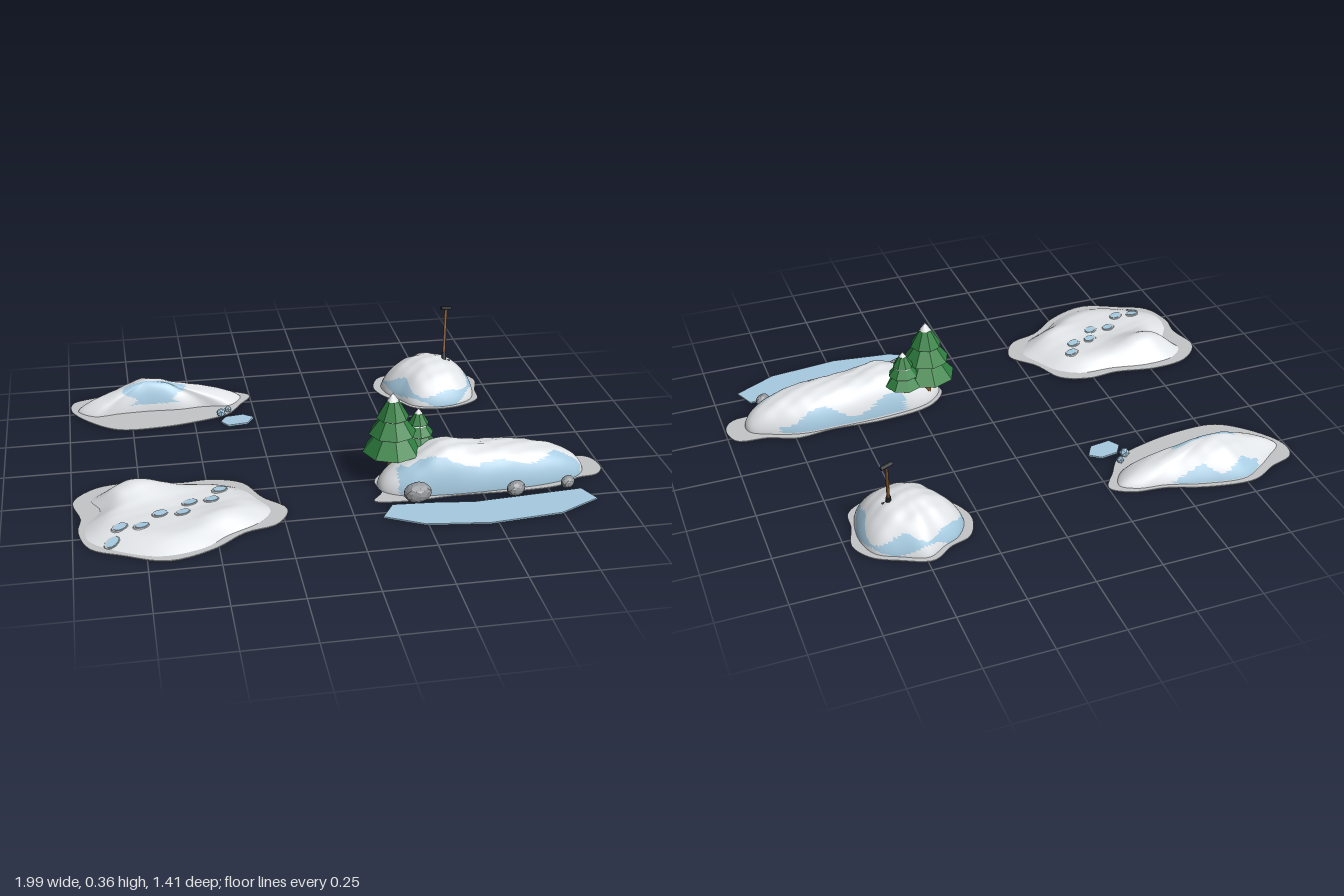
import * as THREE from 'three';

const mat = (name, color, flat = false) => {
  const m = new THREE.MeshStandardMaterial({ color, flatShading: flat });
  m.name = name;
  return m;
};

export function createModel() {
  const root = new THREE.Group();
  root.name = 'snowScene';
  const snow = mat('snow', 0xe2e5e8);
  const ice = mat('ice', 0xa6cae0);
  const slush = mat('packedSnow', 0xc3c5c7);
  const leaf = mat('pineGreen', 0x2f8040, true);
  const wood = mat('wood', 0x82582f);
  const rock = mat('stone', 0x94979b, true);
  const black = mat('darkMetal', 0x26282c);

  const add = (parent, name, geo, material, x = 0, y = 0, z = 0) => {
    const m = new THREE.Mesh(geo, material);
    m.name = name;
    m.position.set(x, y, z);
    parent.add(m);
    return m;
  };
  const group = (name) => {
    const g = new THREE.Group();
    g.name = name;
    root.add(g);
    return g;
  };
  const bell = (d, w) => Math.exp(-(d * d) / (w * w));
  const spline = (pts) =>
    new THREE.CatmullRomCurve3(pts.map(([x, z]) => new THREE.Vector3(x, 0, z)), true);

  // Flat plate from an [x, z] outline, resting on the ground
  const plate = (pts, h) => {
    const shape = new THREE.Shape(pts.map(([x, z]) => new THREE.Vector2(x, z)));
    return new THREE.ExtrudeGeometry(shape, { depth: h, bevelEnabled: false })
      .rotateX(Math.PI / 2).translate(0, h, 0);
  };
  const skirt = (parent, pts) =>
    add(parent, 'skirt', plate(spline(pts).getPoints(72).slice(0, 72).map((p) => [p.x, p.z]), 0.004), slush);

  // Mound: rings from a pole to the outline, raised by height(x, z, t), with icy faces
  const mound = (parent, pts, [px, pz], height, icy) => {
    const N = 80, R = 26, pos = [px, height(px, pz, 0), pz], snowIdx = [], iceIdx = [];
    const curve = spline(pts);
    for (let i = 1; i <= R; i++) {
      const t = Math.sin((i / R) * Math.PI / 2);
      for (let j = 0; j < N; j++) {
        const p = curve.getPoint(j / N);
        const x = px + (p.x - px) * t, z = pz + (p.z - pz) * t;
        const ripple = 1 + 0.02 * Math.sin(x * 61 + z * 37) * Math.sin(z * 73 - x * 23);
        pos.push(x, 0.003 + height(x, z, t) * ripple, z);
      }
    }
    const tri = (...f) => {
      const c = [0, 1, 2].map((k) => f.reduce((s, v) => s + pos[v * 3 + k], 0) / 3);
      (icy(...c) ? iceIdx : snowIdx).push(...f);
    };
    const at = (i, j) => 1 + (i - 1) * N + (j % N);
    for (let j = 0; j < N; j++) {
      tri(0, at(1, j + 1), at(1, j));
      for (let i = 1; i < R; i++) {
        tri(at(i, j), at(i, j + 1), at(i + 1, j));
        tri(at(i, j + 1), at(i + 1, j + 1), at(i + 1, j));
      }
    }
    const g = new THREE.BufferGeometry();
    g.setAttribute('position', new THREE.Float32BufferAttribute(pos, 3));
    g.setIndex([...snowIdx, ...iceIdx]);
    g.addGroup(0, snowIdx.length, 0);
    g.addGroup(snowIdx.length, iceIdx.length, 1);
    g.computeVertexNormals();
    return add(parent, 'mound', g, [snow, ice]);
  };

  // Low trampled patch with a bump and footprints
  const patch = group('footprintPatch');
  skirt(patch, [[-0.23, 0.42], [-0.28, 0.52], [-0.4, 0.56], [-0.52, 0.65], [-0.68, 0.7], [-0.83, 0.64],
    [-0.94, 0.58], [-0.98, 0.46], [-0.97, 0.37], [-0.995, 0.24], [-0.91, 0.15], [-0.77, 0.13],
    [-0.6, 0.16], [-0.48, 0.155], [-0.37, 0.2], [-0.31, 0.32]]);
  const ground = mound(patch, [[-0.29, 0.42], [-0.34, 0.5], [-0.46, 0.57], [-0.55, 0.64], [-0.7, 0.67],
    [-0.85, 0.61], [-0.95, 0.52], [-0.95, 0.42], [-0.9, 0.32], [-0.93, 0.24], [-0.87, 0.18],
    [-0.75, 0.165], [-0.6, 0.19], [-0.46, 0.2], [-0.37, 0.26], [-0.33, 0.33]], [-0.63, 0.4],
  (x, z, t) => (1 - t ** 4) * (0.037 + 0.012 * bell(t - 0.75, 0.2)
    + 0.055 * bell(x + 0.77, 0.13) * bell(z - 0.26, 0.08) + 0.02 * bell(x + 0.46, 0.1) * bell(z - 0.5, 0.08)),
  () => false);
  const ray = new THREE.Raycaster();
  const up = new THREE.Vector3(0, 1, 0);
  for (const [x, z] of [[-0.865, 0.57], [-0.835, 0.51], [-0.76, 0.515], [-0.69, 0.44],
    [-0.61, 0.445], [-0.58, 0.38], [-0.5, 0.37], [-0.465, 0.305]]) {
    ray.set(new THREE.Vector3(x, 1, z), new THREE.Vector3(0, -1, 0));
    const hit = ray.intersectObject(ground)[0];
    const print = new THREE.Group();
    print.name = 'footprint';
    print.position.set(x, hit ? hit.point.y : 0.04, z);
    if (hit) print.quaternion.setFromUnitVectors(up, hit.face.normal);
    print.rotateY(0.5);
    patch.add(print);
    add(print, 'printRim', new THREE.CylinderGeometry(0.027, 0.03, 0.004, 12).scale(1.1, 1, 0.8), slush);
    add(print, 'printBottom', new THREE.CylinderGeometry(0.023, 0.023, 0.004, 12).scale(1.1, 1, 0.75), ice, 0.002, 0.002, 0.002);
  }

  // Wind-blown drift with a steep front
  const drift = group('snowDrift');
  skirt(drift, [[-0.25, -0.55], [-0.3, -0.47], [-0.36, -0.39], [-0.5, -0.34], [-0.65, -0.315], [-0.8, -0.32],
    [-0.9, -0.39], [-0.99, -0.52], [-0.98, -0.6], [-0.88, -0.64], [-0.78, -0.69], [-0.6, -0.67],
    [-0.45, -0.62], [-0.32, -0.6]]);
  mound(drift, [[-0.29, -0.55], [-0.34, -0.47], [-0.45, -0.475], [-0.55, -0.465], [-0.68, -0.47], [-0.8, -0.465],
    [-0.9, -0.455], [-0.965, -0.52], [-0.9, -0.58], [-0.83, -0.63], [-0.75, -0.67], [-0.6, -0.65],
    [-0.45, -0.605], [-0.35, -0.59]], [-0.66, -0.52],
  (x, z, t) => (1 - t ** 2) ** 0.75 * (0.09 + 0.026 * bell(x + 0.67, 0.12)),
  (x, y, z) => z > -0.52
    ? y > 0.035 && Math.abs(x + 0.65) < 0.1 + 0.03 * Math.sin(y * 90)
    : z < -0.61 && y > 0.008 && y < 0.05 + 0.015 * Math.sin(x * 40) && Math.abs(x + 0.65) < 0.18);
  add(drift, 'iceChip', plate([[-0.395, -0.32], [-0.37, -0.36], [-0.3, -0.37], [-0.26, -0.34],
    [-0.29, -0.29], [-0.37, -0.28]], 0.007), ice);
  add(drift, 'iceLump', new THREE.IcosahedronGeometry(0.02, 0), ice, -0.388, 0.015, -0.382);
  add(drift, 'iceLump', new THREE.IcosahedronGeometry(0.015, 0), ice, -0.356, 0.012, -0.415);

  // Round heap with a planted shovel
  const heap = group('shovelHeap');
  skirt(heap, [[0.7, -0.44], [0.69, -0.36], [0.62, -0.31], [0.52, -0.29], [0.41, -0.315], [0.36, -0.38],
    [0.3, -0.46], [0.28, -0.54], [0.32, -0.63], [0.4, -0.66], [0.48, -0.71], [0.59, -0.67],
    [0.68, -0.62], [0.725, -0.54]]);
  mound(heap, [[0.69, -0.45], [0.66, -0.36], [0.6, -0.32], [0.5, -0.305], [0.41, -0.335], [0.36, -0.41],
    [0.32, -0.48], [0.315, -0.55], [0.36, -0.62], [0.42, -0.65], [0.49, -0.69], [0.58, -0.655],
    [0.66, -0.61], [0.69, -0.54]], [0.51, -0.5],
  (x, z, t) => 0.145 * (1 - t ** 2) ** 0.68,
  (x, y, z) => {
    const a = Math.atan2(z + 0.5, x - 0.51);
    return Math.abs(y - 0.038 - 0.012 * Math.sin(a * 3)) < 0.02 + 0.014 * Math.sin(a * 5 + 1);
  });
  const shovel = new THREE.Group();
  shovel.name = 'shovel';
  shovel.position.set(0.574, 0.125, -0.497);
  const axis = new THREE.Vector3(0.02, 0.21, -0.068);
  const len = axis.length();
  shovel.quaternion.setFromUnitVectors(up, axis.normalize());
  heap.add(shovel);
  add(shovel, 'shaft', new THREE.CylinderGeometry(0.006, 0.006, len, 8), wood, 0, len / 2, 0);
  add(shovel, 'socket', new THREE.CylinderGeometry(0.009, 0.011, 0.035, 8), black, 0, 0.018, 0);
  add(shovel, 'blade', new THREE.BoxGeometry(0.05, 0.06, 0.006), black, 0, -0.025, 0);
  add(shovel, 'handle', new THREE.CylinderGeometry(0.008, 0.008, 0.045, 8).rotateZ(Math.PI / 2), black, 0, len, 0)
    .rotation.y = 0.25;

  // Long snow bank
  const bank = group('snowBank');
  skirt(bank, [[0.995, 0.31], [0.96, 0.36], [0.88, 0.375], [0.8, 0.42], [0.65, 0.435], [0.4, 0.43], [0.2, 0.44],
    [0.09, 0.42], [0.13, 0.36], [0.12, 0.27], [0.2, 0.19], [0.4, 0.16], [0.6, 0.17], [0.75, 0.16],
    [0.85, 0.2], [0.97, 0.22]]);
  mound(bank, [[0.92, 0.31], [0.88, 0.365], [0.75, 0.405], [0.55, 0.42], [0.35, 0.42], [0.2, 0.4],
    [0.13, 0.35], [0.13, 0.28], [0.2, 0.21], [0.35, 0.18], [0.55, 0.175], [0.72, 0.18],
    [0.84, 0.22], [0.91, 0.26]], [0.52, 0.3],
  (x, z, t) => (1 - t ** 2.5) ** 0.55 * (0.139 + 0.032 * bell(x - 0.36, 0.1)),
  (x, y, z) => z > 0.33
    ? x > 0.19 && x < 0.9 && y < 0.1 + 0.012 * Math.sin(x * 25) + 0.03 * bell(x - 0.36, 0.1)
    : z < 0.22 && x > 0.3 && x < 0.8 && y > 0.01 && y < 0.065 + 0.03 * Math.sin(x * 22));

  // Stones along the front of the bank
  for (const [x, y, z, r, turn] of [[0.245, 0.042, 0.45, 0.05, 0.3], [0.615, 0.027, 0.455, 0.037, 1.4],
    [0.82, 0.024, 0.435, 0.03, 2.2]]) {
    add(bank, 'stone', new THREE.DodecahedronGeometry(r, 1).scale(1.05, 0.78, 0.75), rock, x, y, z).rotation.y = turn * 0.3;
  }

  // Frozen puddle in front of the bank
  add(bank, 'frozenPuddle', plate([[0.15, 0.46], [0.1, 0.54], [0.24, 0.615], [0.47, 0.645], [0.74, 0.62],
    [0.9, 0.54], [0.865, 0.46], [0.66, 0.475], [0.45, 0.49], [0.3, 0.47]], 0.006), ice);

  // Pine tree: eight-sided tiers with snowy seams and a snowy tip
  const pine = (x, z, base, top, r) => {
    const tree = group('pineTree');
    const h = top - base;
    add(tree, 'trunk', new THREE.CylinderGeometry(r * 0.13, r * 0.18, base + 0.03, 8), wood, x, (base + 0.03) / 2, z);
    const tiers = [[0, 0.36, 1, 0.42], [0.31, 0.63, 0.8, 0.3], [0.58, 0.86, 0.55, 0.21]];
    for (const [y0, y1, r0, r1] of tiers) {
      add(tree, 'branches', new THREE.CylinderGeometry(r * r1, r * r0, h * (y1 - y0), 8), leaf, x, base + h * (y0 + y1) / 2, z);
      if (y0) add(tree, 'snowSeam', new THREE.CylinderGeometry(r * r0 * 0.82, r * r0 * 0.9, 0.005, 8), snow, x, base + h * y0 - 0.003, z);
    }
    add(tree, 'snowTip', new THREE.ConeGeometry(r * 0.23, h * 0.16, 8), snow, x, base + h * 0.92, z);
  };
  pine(0.19, 0.25, 0.12, 0.355, 0.112);
  pine(0.297, 0.213, 0.12, 0.265, 0.073);

  return root;
}
